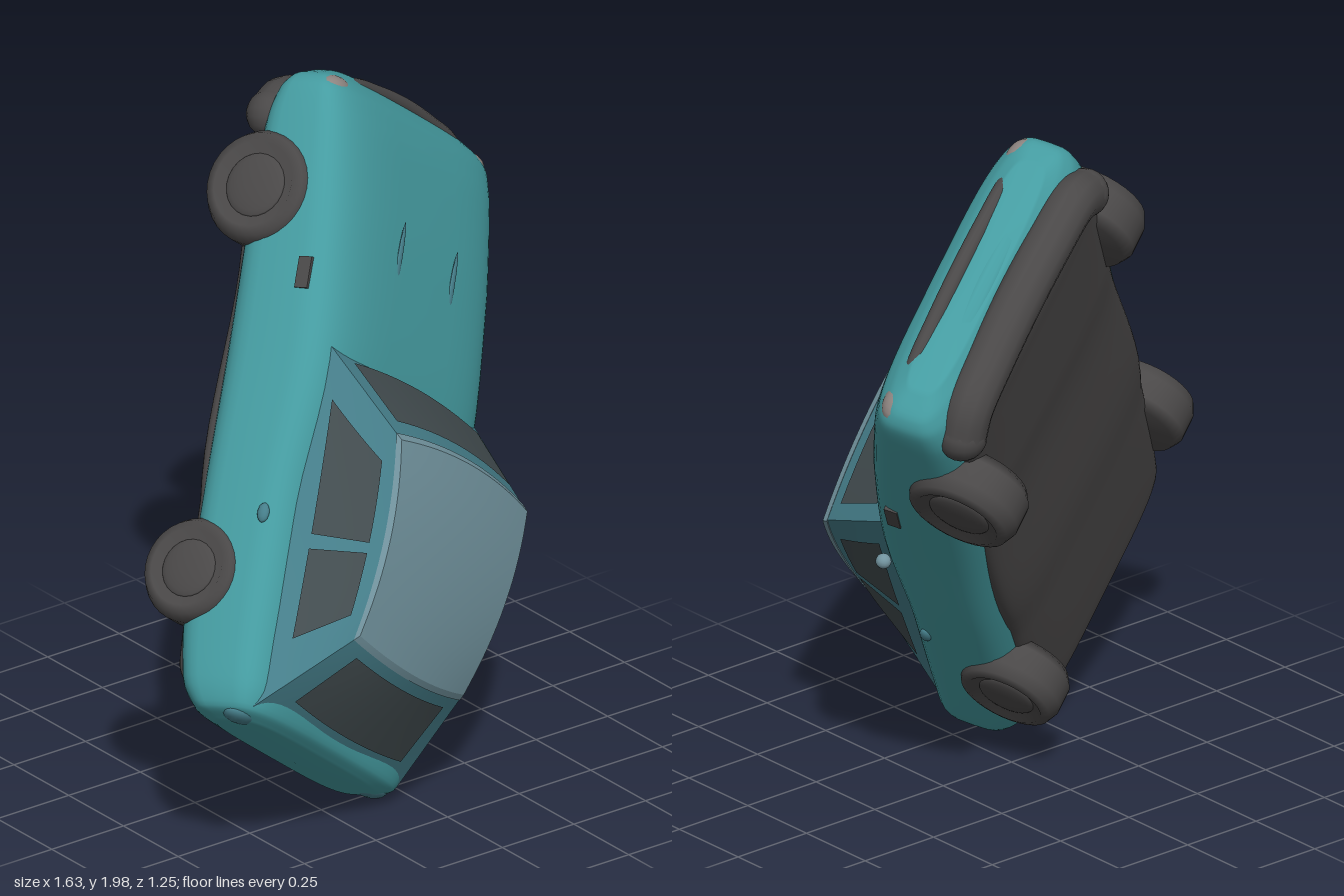
import * as THREE from 'three';

const mat = (color, side = THREE.FrontSide) => new THREE.MeshStandardMaterial({ color, side });
const paint = mat(0x459ca1), dark = mat(0x4a4848), roofGrey = mat(0x7395a0);
const glass = mat(0x434d50, THREE.DoubleSide), lamp = mat(0x8d8480), trim = mat(0x467f8b);

// Closed loft of rounded sections [z, halfWidth, top, bottom], smoothed along z
function loft(sections, steps = 48, n = 56) {
  const size = new THREE.CatmullRomCurve3(sections.map(([, w, t, b]) => new THREE.Vector3(w, t, b)));
  const along = new THREE.CatmullRomCurve3(sections.map(([z]) => new THREE.Vector3(z, 0, 0)));
  const pos = [], idx = [];
  const bend = (v, e) => Math.sign(v) * Math.abs(v) ** e;
  for (let i = 0; i <= steps; i++) {
    const { x: w, y: t, z: b } = size.getPoint(i / steps), z = along.getPoint(i / steps).x;
    for (let j = 0; j < n; j++) {
      const a = (j / n) * Math.PI * 2;
      pos.push(w * bend(Math.cos(a), 0.5), (t + b) / 2 + ((t - b) / 2) * bend(Math.sin(a), 0.5), z);
    }
  }
  for (let i = 0; i < steps; i++) for (let j = 0; j < n; j++) {
    const a = i * n + j, b = i * n + ((j + 1) % n);
    idx.push(a, b, a + n, b, b + n, a + n);
  }
  [0, steps].forEach((i) => {
    const centre = pos.length / 3, s = sections[i ? sections.length - 1 : 0];
    pos.push(0, (s[2] + s[3]) / 2, s[0] + (i ? 0.015 : -0.015));
    for (let j = 0; j < n; j++) {
      const a = i * n + j, b = i * n + ((j + 1) % n);
      if (i) idx.push(centre, a, b); else idx.push(centre, b, a);
    }
  });
  const g = new THREE.BufferGeometry();
  g.setAttribute('position', new THREE.Float32BufferAttribute(pos, 3));
  g.setIndex(idx);
  g.computeVertexNormals();
  return g;
}

// Cabin space: a = side (-1..1), b = height (0..1), c = rear to front (-1..1)
function cabinPoint(a, b, c) {
  const mix = THREE.MathUtils.lerp, k = (c + 1) / 2;
  const half = mix(mix(0.44, 0.32, b), mix(0.455, 0.385, b), k);
  const y = mix(0.12, mix(0.345, 0.41, k), b) + 0.03 * b * Math.max(0, 1 - c * c) + 0.015 * b * (1 - a * a);
  const z = mix(mix(-0.9, -0.66, b), mix(0.2, -0.1, b), k) + 0.03 * c * (1 - a * a);
  return [a * half, y, z];
}

function warp(g, rule) {
  const p = g.attributes.position;
  for (let i = 0; i < p.count; i++) p.setXYZ(i, ...rule(p.getX(i), p.getY(i), p.getZ(i)));
  g.computeVertexNormals();
  return g;
}

export function createModel() {
  const model = new THREE.Group(), car = new THREE.Group();
  model.name = 'tiltedCar';
  car.name = 'car';
  model.add(car);
  const add = (name, g, m, x = 0, y = 0, z = 0) => {
    const mesh = new THREE.Mesh(g, m);
    mesh.name = name;
    mesh.position.set(x, y, z);
    car.add(mesh);
  };

  // Painted shell and dark floor
  add('body', loft([
    [-0.935, 0.4, 0.12, -0.05], [-0.91, 0.465, 0.155, -0.1], [-0.84, 0.49, 0.175, -0.15],
    [-0.65, 0.5, 0.18, -0.18], [-0.3, 0.505, 0.185, -0.18], [0.1, 0.505, 0.22, -0.18],
    [0.5, 0.505, 0.19, -0.18], [0.78, 0.5, 0.145, -0.17], [0.87, 0.49, 0.115, -0.14],
    [0.91, 0.46, 0.08, -0.11], [0.94, 0.38, 0.04, -0.08],
  ]), paint);
  add('underbody', loft([
    [-0.87, 0.36, -0.05, -0.13], [-0.78, 0.41, -0.05, -0.185], [-0.3, 0.43, -0.05, -0.195],
    [0.4, 0.43, -0.05, -0.195], [0.78, 0.43, -0.05, -0.2], [0.9, 0.38, -0.06, -0.2],
  ]), dark);

  // Cabin shell, roof skin and windows
  add('cabin', warp(new THREE.BoxGeometry(2, 1, 2, 16, 8, 16), (x, y, z) => cabinPoint(x, y + 0.5, z)), trim);
  const onPlane = (rule) => warp(new THREE.PlaneGeometry(1, 1, 12, 12), (u, v) => rule(u + 0.5, v + 0.5));
  add('roof', warp(new THREE.BoxGeometry(2, 0.06, 2, 16, 1, 16),
    (x, y, z) => cabinPoint(x * 1.01, 1 + y, z * 1.01)), roofGrey);
  add('windshield', onPlane((u, v) => cabinPoint(1.76 * (u - 0.5), 0.36 + 0.5 * v, 1.02)), glass);
  add('rearWindow', onPlane((u, v) => cabinPoint(1.6 * (u - 0.5), 0.28 + 0.6 * v, -1.02)), glass);
  for (const s of [1, -1]) {
    add('frontSideWindow', onPlane((u, v) => cabinPoint(s * 1.02, 0.3 + 0.55 * v, -0.08 + (0.82 - 0.1 * v) * u)), glass);
    add('rearSideWindow', onPlane((u, v) => cabinPoint(s * 1.02, 0.3 + 0.55 * v, -0.72 + 0.55 * u)), glass);
  }

  // Front bumper and grille follow the curved nose
  const noseTube = (half, y, z, bow, r) => new THREE.TubeGeometry(new THREE.CatmullRomCurve3(
    [-1, -0.85, -0.45, 0, 0.45, 0.85, 1].map((t) =>
      new THREE.Vector3(t * half, y, z - bow * t * t - (Math.abs(t) === 1 ? 0.04 : 0)))), 40, r, 12);
  add('frontBumper', noseTube(0.41, -0.145, 0.89, 0.05, 0.07), dark);
  add('bumperBar', noseTube(0.44, -0.045, 0.91, 0.06, 0.045), paint);
  add('grille', noseTube(0.36, 0.035, 0.94, 0.04, 0.024), dark);

  // Wheels: lathed tyre with a shallow hub, at [side, height, z, radius]
  const tyre = new THREE.LatheGeometry([[0, -0.48], [0.88, -0.48], [1, -0.28], [1, 0.18], [0.9, 0.4], [0.74, 0.46],
    [0.64, 0.36], [0, 0.36]].map(([r, y]) => new THREE.Vector2(r, y)), 32);
  const hub = new THREE.SphereGeometry(0.56, 24, 10).scale(1, 0.18, 1);
  for (const [s, y, z, r, name] of [
    [1, -0.1, 0.57, 0.165, 'frontLeftWheel'], [-1, -0.145, 0.52, 0.165, 'frontRightWheel'],
    [1, -0.115, -0.53, 0.15, 'rearLeftWheel'], [-1, -0.14, -0.555, 0.15, 'rearRightWheel'],
  ]) {
    const wheel = new THREE.Group(), t = new THREE.Mesh(tyre, dark), h = new THREE.Mesh(hub, dark);
    wheel.name = name;
    t.name = 'tyre';
    h.name = 'hub';
    h.position.y = 0.35;
    wheel.add(t, h);
    wheel.scale.setScalar(r);
    wheel.position.set(s * 0.455, y, z);
    wheel.rotation.z = -s * Math.PI / 2;
    car.add(wheel);
  }

  // Lamps, bumper ends and small side details
  for (const s of [1, -1]) {
    add('headlight', new THREE.SphereGeometry(0.06, 20, 14).scale(1.1, 0.8, 0.7), lamp, s * 0.41, 0.035, 0.875);
    add('tailLight', new THREE.SphereGeometry(0.05, 16, 12).scale(1.2, 0.9, 0.5), trim, s * 0.4, 0.06, -0.915);
    add('bumperEnd', new THREE.SphereGeometry(0.07, 16, 12), dark, s * 0.41, -0.145, 0.8);
    add('sideVent', new THREE.BoxGeometry(0.02, 0.04, 0.09), dark, s * 0.498, 0.09, 0.33);
    add('doorHandle', new THREE.SphereGeometry(0.022, 12, 8).scale(0.6, 0.8, 1.3), trim, s * 0.5, 0.085, -0.36);
    add('hoodCrease', new THREE.SphereGeometry(0.05, 12, 8).scale(0.25, 0.1, 2.2), trim, s * 0.16, 0.193, 0.46);
  }
  add('mirror', new THREE.SphereGeometry(0.022, 14, 10), roofGrey, -0.49, 0.17, 0.0);

  // Tip the car nose-up
  car.quaternion.setFromRotationMatrix(new THREE.Matrix4().makeBasis(
    new THREE.Vector3(-0.761, 0.597, 0.254).normalize(),
    new THREE.Vector3(0.4255, 0.165, 0.89).normalize(),
    new THREE.Vector3(0.49, 0.785, -0.38).normalize()));
  car.position.set(0, 1, 0);
  return model;
}
